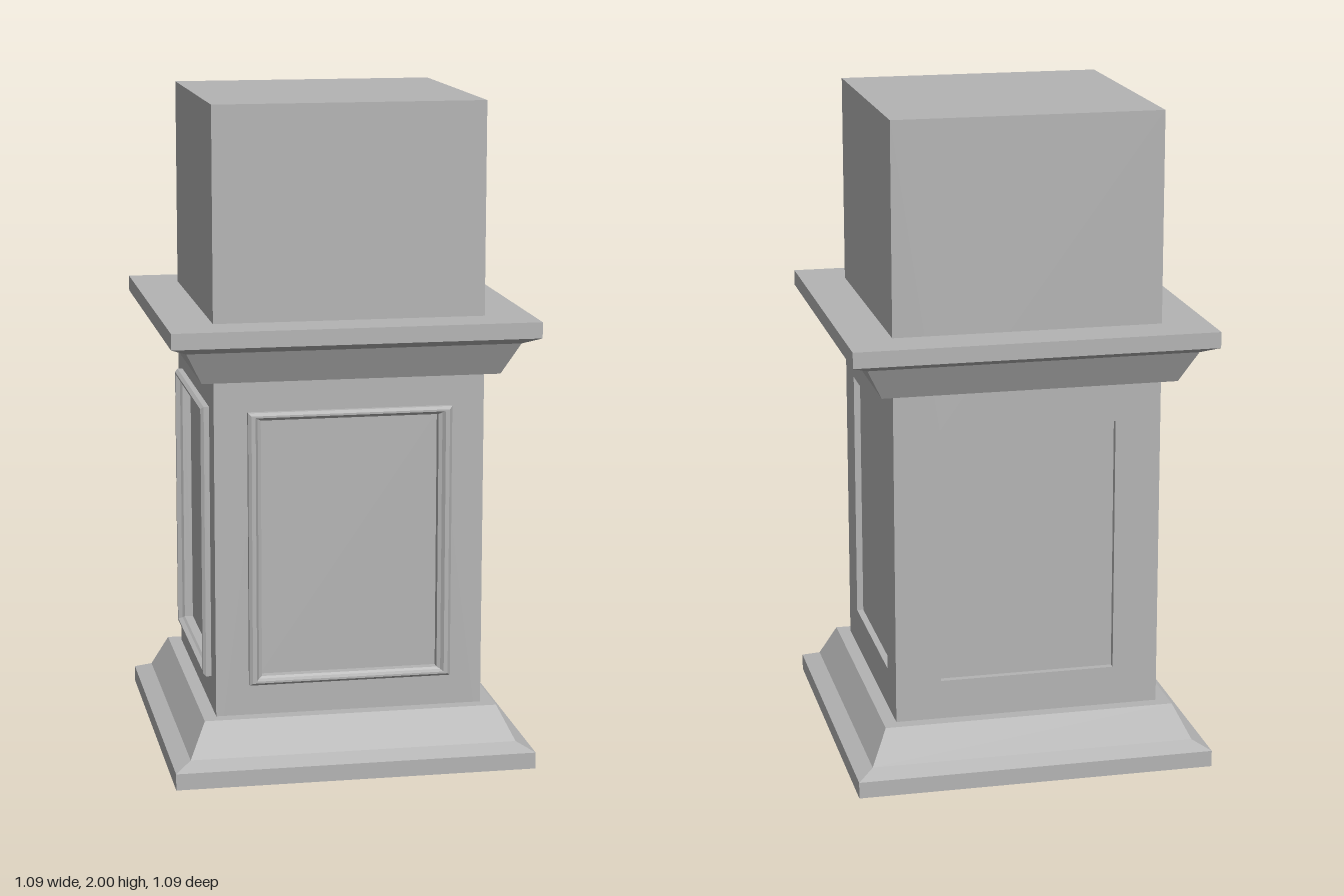
import * as THREE from 'three';

const HALF = 0.405;       // half width of the shaft
const HEIGHT = 2;
const PANEL = { w: 0.267, h: 0.39, y: 0.685, depth: 0.02 };

// Joins rectangular sections [half width, half height, z]; optional end caps
function rectLoft(sections, capStart = false, capEnd = false) {
  const rings = sections.map(([w, h, z]) => [[-w, -h, z], [w, -h, z], [w, h, z], [-w, h, z]]);
  const pos = [];
  const quad = (a, b, c, d) => pos.push(...a, ...b, ...c, ...a, ...c, ...d);
  for (let i = 0; i < rings.length - 1; i++) {
    for (let k = 0; k < 4; k++) {
      const n = (k + 1) % 4;
      quad(rings[i][k], rings[i][n], rings[i + 1][n], rings[i + 1][k]);
    }
  }
  if (capStart) quad(...[...rings[0]].reverse());
  if (capEnd) quad(...rings[rings.length - 1]);
  const geo = new THREE.BufferGeometry();
  geo.setAttribute('position', new THREE.Float32BufferAttribute(pos, 3));
  geo.computeVertexNormals();
  return geo;
}

// Square moulding standing upright, from [half width, y] pairs
function squareMoulding(profile, capStart, capEnd) {
  return rectLoft(profile.map(([w, y]) => [w, w, y]), capStart, capEnd).rotateX(-Math.PI / 2);
}

export function createModel() {
  const stone = new THREE.MeshStandardMaterial({ color: 0xb4b4b4 });
  stone.name = 'grey stone';
  const model = new THREE.Group();
  model.name = 'pedestal';

  const add = (parent, name, geo) => {
    const mesh = new THREE.Mesh(geo, stone);
    mesh.name = name;
    parent.add(mesh);
    return mesh;
  };

  // Shaft wall with an opening for the sunken panel
  const wall = new THREE.Shape([
    new THREE.Vector2(-HALF, 0), new THREE.Vector2(HALF, 0),
    new THREE.Vector2(HALF, HEIGHT), new THREE.Vector2(-HALF, HEIGHT),
  ]);
  const { w, h, y, depth } = PANEL;
  wall.holes.push(new THREE.Path([
    new THREE.Vector2(-w, y - h), new THREE.Vector2(-w, y + h),
    new THREE.Vector2(w, y + h), new THREE.Vector2(w, y - h),
  ]));
  const wallGeo = new THREE.ShapeGeometry(wall).translate(0, 0, HALF);
  const panelGeo = rectLoft([[w, h, 0], [w, h, -depth]], false, true).translate(0, y, HALF);

  // Raised frame with chamfered outer and inner edges
  const frameGeo = rectLoft([
    [0.306, 0.415, 0], [0.306, 0.415, 0.016], [0.297, 0.407, 0.025],
    [0.285, 0.401, 0.025], [0.277, 0.396, 0.012], [w, h, 0.006], [w, h, 0],
  ]).translate(0, y, HALF);

  // Four sides; the front and the -x side carry frames
  const sides = [['front', 0, true], ['left', Math.PI / 2, false],
    ['back', Math.PI, false], ['right', -Math.PI / 2, true]];
  for (const [name, angle, framed] of sides) {
    const side = new THREE.Group();
    side.name = name + 'Side';
    side.rotation.y = angle;
    add(side, 'wall', wallGeo);
    add(side, 'sunkenPanel', panelGeo);
    if (framed) add(side, 'panelFrame', frameGeo);
    model.add(side);
  }

  // Flat top of the shaft
  add(model, 'shaftTop', new THREE.PlaneGeometry(2 * HALF, 2 * HALF).rotateX(-Math.PI / 2))
    .position.y = HEIGHT;

  // Stepped and sloped base
  add(model, 'baseMoulding', squareMoulding([
    [0.545, 0], [0.545, 0.05], [0.495, 0.073], [0.445, 0.175], [HALF, 0.175],
  ], true, false));

  // Flared cornice, closed against the shaft
  add(model, 'cornice', squareMoulding([
    [HALF, 1.197], [0.445, 1.197], [0.495, 1.295], [0.545, 1.317], [0.545, 1.365], [HALF, 1.365],
  ], false, false));

  return model;
}
